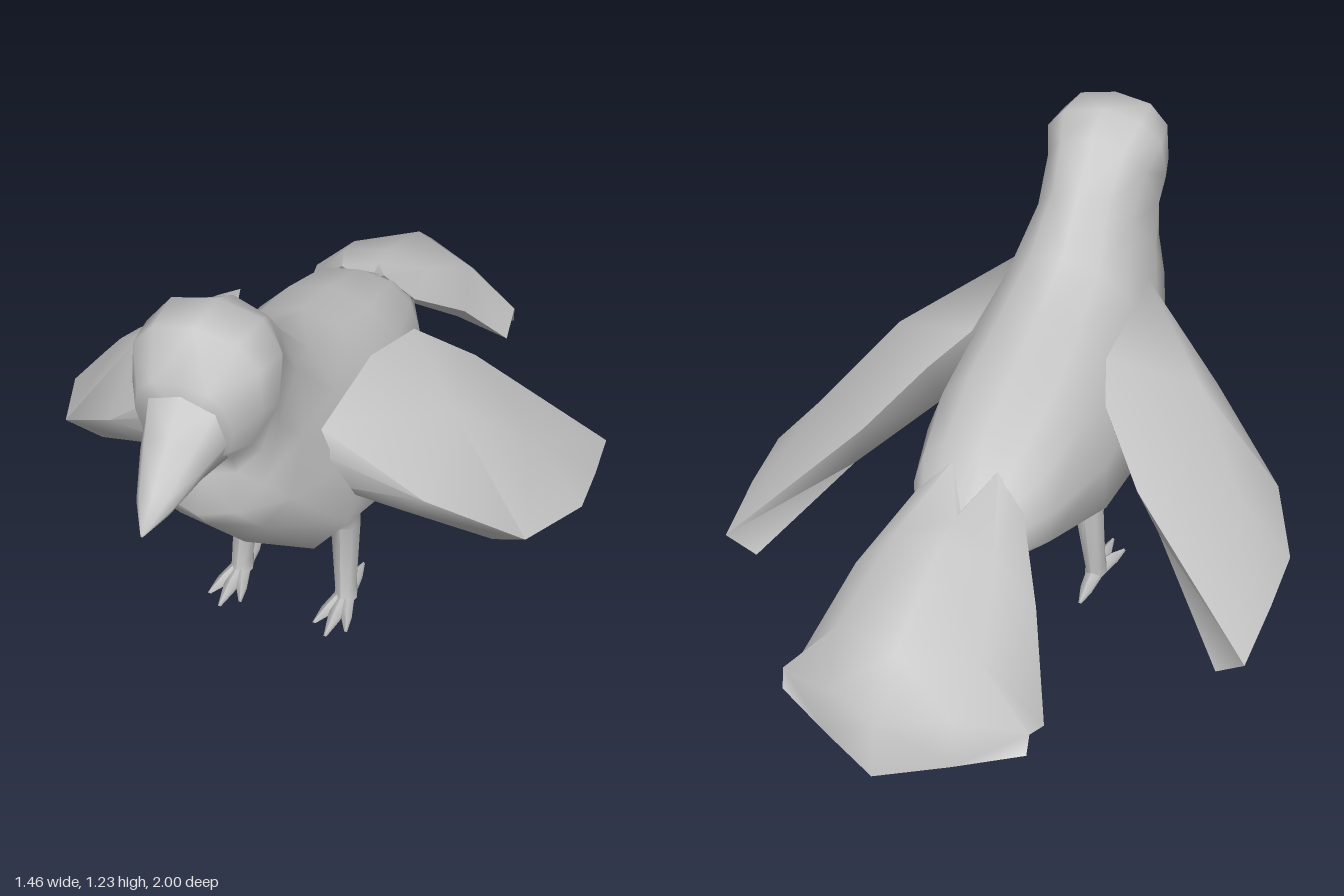
import * as THREE from 'three';
import { toCreasedNormals } from 'three/addons/utils/BufferGeometryUtils.js';

// Skin closed rings of [x, y, z] points, cap both ends, and face the skin outward
function loft(rings, crease = 1) {
  const n = rings[0].length, pos = rings.flat(), tris = [];
  const gap = (a, b) => Math.hypot(...pos[a].map((c, k) => c - pos[b][k]));
  for (let r = 0; r < rings.length - 1; r++)
    for (let i = 0; i < n; i++) {
      // split each quad along its shorter diagonal
      const a = r * n + i, b = r * n + (i + 1) % n, c = b + n, d = a + n;
      if (gap(a, c) < gap(b, d)) tris.push([a, b, c], [a, c, d]);
      else tris.push([a, b, d], [b, c, d]);
    }
  const cap = (ring, base, flip) => {
    const c = pos.length;
    pos.push([0, 1, 2].map(k => ring.reduce((s, p) => s + p[k], 0) / n));
    for (let i = 0; i < n; i++) {
      const a = base + i, b = base + (i + 1) % n;
      tris.push(flip ? [c, b, a] : [c, a, b]);
    }
  };
  cap(rings[0], 0, true);
  cap(rings[rings.length - 1], (rings.length - 1) * n, false);
  const v = pos.map(p => new THREE.Vector3(...p));
  const volume = tris.reduce((s, [a, b, c]) => s + v[a].dot(v[b].clone().cross(v[c])), 0);
  const geo = new THREE.BufferGeometry().setFromPoints(v);
  geo.setIndex(tris.flatMap(t => (volume < 0 ? [t[0], t[2], t[1]] : t)));
  return toCreasedNormals(geo, crease);
}

// Rounded ring across the body: top (z, y), bottom (z, y), half width, pear (narrower top)
function hoop([tz, ty, bz, by, w, pear = 0], n = 12) {
  const soft = s => Math.sign(s) * Math.abs(s) ** 0.8;
  return Array.from({ length: n }, (_, i) => {
    const t = (i / n) * Math.PI * 2, k = soft(Math.cos(t));
    return [w * (1 - pear * k) * soft(Math.sin(t)), (ty + by) / 2 + k * (ty - by) / 2, (tz + bz) / 2 + k * (tz - bz) / 2];
  });
}

// Level ring for legs
const disc = ([x, y, z, rx, rz], n = 8) => Array.from({ length: n }, (_, i) => {
  const t = (i / n) * Math.PI * 2;
  return [x + rx * Math.cos(t), y, z + rz * Math.sin(t)];
});

export function createModel() {
  const group = new THREE.Group();
  const grey = new THREE.MeshStandardMaterial({ color: 0xc6c6c6 });
  grey.name = 'grey';
  const add = (name, rings, crease) => {
    const mesh = new THREE.Mesh(loft(rings, crease), grey);
    mesh.name = name;
    group.add(mesh);
  };

  // Head and body, from face to rump
  add('body', [
    [0.79, 1.15, 0.76, 0.93, 0.115],
    [0.70, 1.235, 0.71, 0.89, 0.155, -0.12],
    [0.58, 1.235, 0.71, 0.84, 0.167, -0.14],
    [0.50, 1.19, 0.74, 0.74, 0.158, 0.02],
    [0.40, 1.08, 0.68, 0.66, 0.178, 0.28],
    [0.28, 0.95, 0.48, 0.43, 0.24, 0.33],
    [0.10, 0.885, 0.20, 0.32, 0.257, 0.31],
    [-0.10, 0.82, -0.04, 0.33, 0.245, 0.22],
    [-0.30, 0.745, -0.30, 0.42, 0.185, 0.1],
    [-0.50, 0.60, -0.52, 0.52, 0.09],
  ].map(s => hoop(s)), 1.2);

  // Beak
  add('beak', [
    [0.77, 1.13, 0.70, 0.895, 0.11],
    [0.85, 1.05, 0.82, 0.917, 0.078],
    [0.94, 0.962, 0.93, 0.905, 0.042],
    [1.0, 0.903, 1.0, 0.897, 0.003],
  ].map(s => hoop(s, 8)), 1.3);

  // Tail: half sections from top centre round the edge to bottom centre
  const tail = [
    [[0, 0.65, -0.48], [0.06, 0.712, -0.345], [0.14, 0.63, -0.38], [0.06, 0.59, -0.40], [0, 0.58, -0.42]],
    [[0, 0.645, -0.56], [0.13, 0.62, -0.55], [0.235, 0.50, -0.55], [0.12, 0.51, -0.57], [0, 0.53, -0.58]],
    [[0, 0.535, -0.84], [0.18, 0.50, -0.77], [0.32, 0.305, -0.725], [0.16, 0.33, -0.745], [0, 0.34, -0.75]],
    [[0, 0.43, -0.97], [0.16, 0.41, -0.89], [0.315, 0.355, -0.81], [0.16, 0.30, -0.82], [0, 0.305, -0.85]],
    [[0, 0.29, -1.0], [0.16, 0.292, -0.912], [0.313, 0.30, -0.825], [0.16, 0.288, -0.905], [0, 0.285, -0.99]],
  ];
  add('tail', tail.map(h => [...h, ...h.slice(1, -1).reverse().map(([x, y, z]) => [-x, y, z])]), 1.3);

  // Wing sections from shoulder to tip: leading edge, crown, trailing edge, under back, under front
  const wing = [
    [[0.19, 0.765, 0.47], [0.19, 0.825, 0.45], [0.185, 0.79, 0.10], [0.17, 0.62, 0.14], [0.17, 0.63, 0.42]],
    [[0.42, 0.60, 0.36], [0.42, 0.73, 0.16], [0.24, 0.77, -0.07], [0.25, 0.60, 0.02], [0.36, 0.525, 0.33]],
    [[0.64, 0.42, 0.21], [0.58, 0.55, -0.02], [0.37, 0.63, -0.20], [0.42, 0.48, -0.16], [0.55, 0.365, 0.18]],
    [[0.73, 0.375, -0.01], [0.725, 0.35, -0.18], [0.71, 0.31, -0.37], [0.635, 0.248, -0.35], [0.665, 0.30, -0.01]],
  ];

  // Paired wings, legs and feet
  for (const [side, s] of [['left', 1], ['right', -1]]) {
    const mirror = rings => rings.map(r => r.map(([x, y, z]) => [s * x, y, z]));
    add(side + 'Wing', mirror(wing), 1.3);
    add(side + 'Leg', mirror([
      [0.13, 0.40, 0.18, 0.075, 0.10],
      [0.13, 0.33, 0.165, 0.052, 0.07],
      [0.138, 0.26, 0.138, 0.042, 0.045],
      [0.152, 0.05, 0.165, 0.028, 0.042],
      [0.153, 0.015, 0.17, 0.032, 0.045],
    ].map(d => disc(d))));
    // Three front toes and one hind toe
    for (const [dx, zEnd] of [[-0.045, 0.29], [0, 0.325], [0.045, 0.29], [0, 0.03]]) {
      const at = (f, w, h) => {
        const x = 0.153 + dx * f, z = 0.16 + (zEnd - 0.16) * f;
        return [[x - w, 0.004, z], [x - w, h * 0.6, z], [x, h, z], [x + w, h * 0.6, z], [x + w, 0.004, z]];
      };
      add(side + 'Toe', mirror([at(0, 0.022, 0.045), at(0.6, 0.016, 0.032), at(1, 0.004, 0.012)]));
    }
  }
  return group;
}
